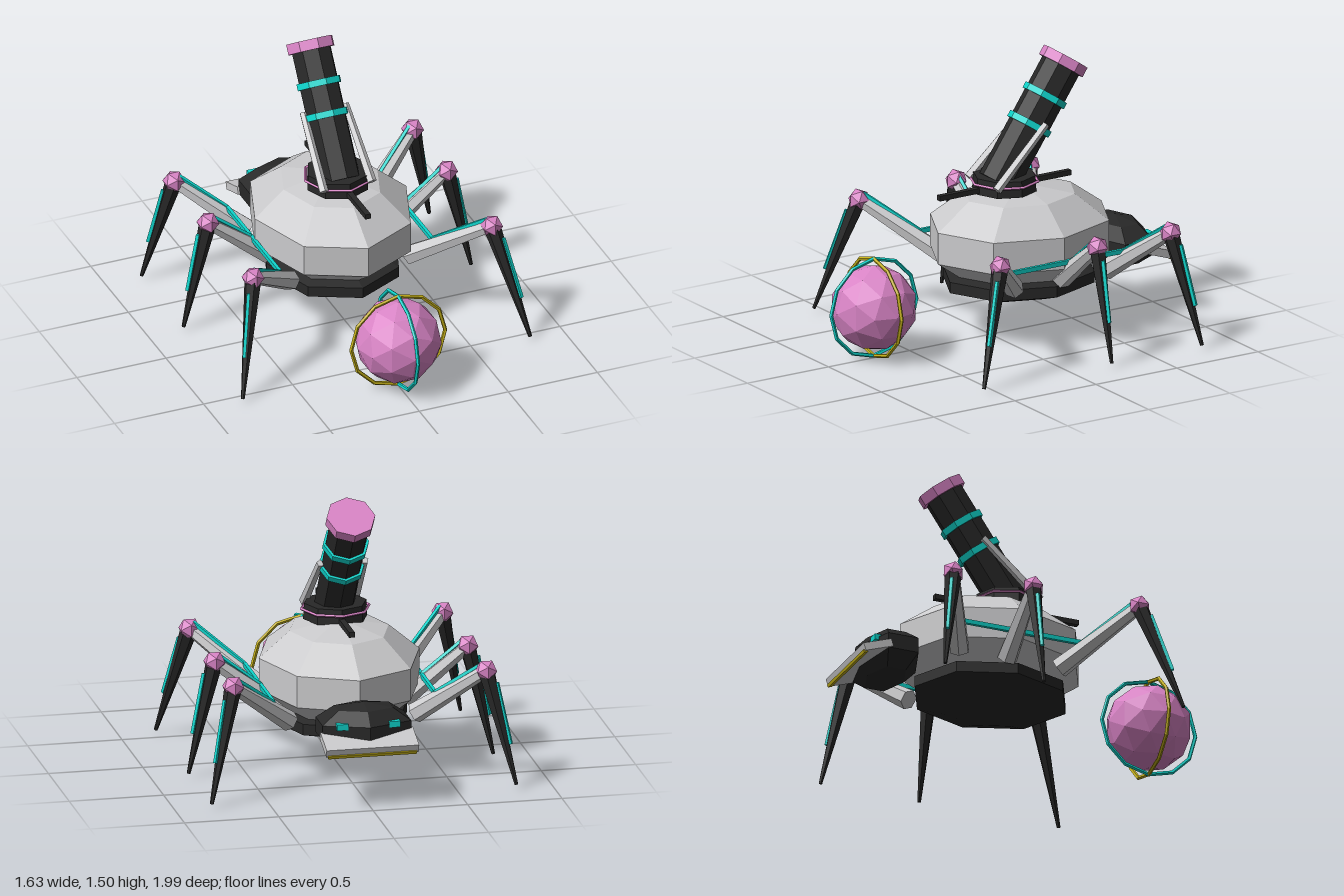
import * as THREE from 'three';

const paint = (name, color) => {
  const m = new THREE.MeshStandardMaterial({ color, flatShading: true });
  m.name = name;
  return m;
};
const V = (x, y, z) => new THREE.Vector3(x, y, z);

export function createModel() {
  const grey = paint('light grey', 0xcbcbcd);
  const black = paint('black', 0x282828);
  const pink = paint('pink', 0xd984c6);
  const cyan = paint('cyan', 0x0fd6cd);
  const yellow = paint('yellow', 0xc4b018);

  const model = new THREE.Group();
  model.name = 'walker';

  const add = (name, geometry, material, pos = V(0, 0, 0), parent = model) => {
    const mesh = new THREE.Mesh(geometry, material);
    mesh.name = name;
    mesh.position.copy(pos);
    parent.add(mesh);
    return mesh;
  };
  // Tapered bar from a to b
  const beam = (name, a, b, ra, rb, sides, material, parent = model) => {
    const dir = b.clone().sub(a);
    const geo = new THREE.CylinderGeometry(rb, ra, dir.length(), sides);
    const mesh = add(name, geo, material, a.clone().add(b).multiplyScalar(0.5), parent);
    mesh.quaternion.setFromUnitVectors(V(0, 1, 0), dir.normalize());
    return mesh;
  };
  // Faceted ellipsoid
  const pod = (name, sides, rx, ry, rz, material, pos, turn = 0) =>
    add(name, new THREE.SphereGeometry(1, sides, 5).rotateY(turn).scale(rx, ry, rz), material, pos);

  // Hull
  pod('body', 8, 0.447, 0.275, 0.53, grey, V(0, 0.535, -0.18));
  pod('underbelly', 8, 0.38, 0.095, 0.447, black, V(0, 0.31, -0.175));

  // Legs, mirrored left and right
  const legs = [
    { name: 'front', hip: 0.07, knee: 0.376, foot: 0.565 },
    { name: 'middle', hip: -0.223, knee: -0.223, foot: -0.223 },
    { name: 'back', hip: -0.49, knee: -0.675, foot: -0.78 },
  ];
  for (const s of [1, -1]) {
    const side = s > 0 ? 'Left' : 'Right';
    for (const leg of legs) {
      const g = new THREE.Group();
      g.name = leg.name + side + 'Leg';
      model.add(g);
      const hip = V(s * 0.33, 0.365, leg.hip);
      const knee = V(s * 0.67, 0.63, leg.knee);
      const foot = V(s * 0.807, 0.035, leg.foot);
      beam('upperLeg', hip, knee, 0.054, 0.034, 6, grey, g);
      beam('lowerLeg', knee, foot, 0.046, 0.01, 6, black, g);
      add('knee', new THREE.IcosahedronGeometry(0.06, 0), pink, knee, g);
      // Glowing strips on top of the thigh and outside the shin
      const lift = V(0, 0.05, 0);
      beam('thighStrip', hip.clone().lerp(knee, 0.29).add(lift),
        hip.clone().lerp(knee, 0.95).add(lift), 0.012, 0.012, 4, cyan, g);
      const out = knee.clone().sub(hip).setY(0).normalize();
      beam('shinStrip', knee.clone().lerp(foot, 0.1).addScaledVector(out, 0.042),
        knee.clone().lerp(foot, 0.64).addScaledVector(out, 0.028), 0.012, 0.012, 4, cyan, g);
    }
    add('sideStrip', new THREE.BoxGeometry(0.018, 0.024, 0.7), cyan, V(s * 0.427, 0.487, -0.193));
  }

  // Turret
  add('turretBase', new THREE.CylinderGeometry(0.165, 0.17, 0.085, 8), black, V(0, 0.83, -0.085));
  add('turretRing', new THREE.TorusGeometry(0.18, 0.008, 4, 8).rotateX(Math.PI / 2), pink, V(0, 0.842, -0.085));
  add('crossBar', new THREE.BoxGeometry(0.03, 0.028, 0.81), black, V(0, 0.81, -0.085));

  // Cannon, leaning backwards
  const cannon = new THREE.Group();
  cannon.name = 'cannon';
  cannon.position.set(0, 0.83, -0.045);
  cannon.rotation.x = -0.6;
  model.add(cannon);
  const drum = (name, r, h, y, m) =>
    add(name, new THREE.CylinderGeometry(r, r, h, 8), m, V(0, y, 0), cannon);
  drum('barrel', 0.108, 0.7, 0.35, black);
  drum('muzzleCap', 0.129, 0.055, 0.715, pink);
  drum('lowerBand', 0.122, 0.035, 0.345, cyan);
  drum('upperBand', 0.122, 0.035, 0.513, cyan);
  for (const s of [1, -1])
    beam('cannonStrut', V(s * 0.135, 0.84, 0.05), V(s * 0.118, 1.14, -0.265), 0.026, 0.02, 5, grey);

  // Head with eyes and jaw at the rear
  pod('head', 6, 0.285, 0.133, 0.178, black, V(0, 0.4, -0.765), Math.PI / 2);
  for (const s of [1, -1])
    add('eye', new THREE.BoxGeometry(0.06, 0.032, 0.05), cyan, V(s * 0.138, 0.44, -0.872));
  const jaw = new THREE.Group();
  jaw.name = 'jaw';
  jaw.position.set(0, 0.358, -0.91);
  jaw.rotation.x = -0.33;
  model.add(jaw);
  add('jawPlate', new THREE.BoxGeometry(0.49, 0.042, 0.165), grey, V(0, 0, 0), jaw);
  add('jawEdge', new THREE.BoxGeometry(0.47, 0.016, 0.022), yellow, V(0, -0.02, -0.08), jaw);

  // Caged orb in front
  const orb = V(0, 0.288, 0.72);
  add('orb', new THREE.IcosahedronGeometry(0.228, 1), pink, orb);
  const hoop = () => new THREE.TorusGeometry(0.264, 0.011, 5, 12);
  add('crossHoop', hoop(), yellow, orb);
  add('lengthHoop', hoop().rotateY(Math.PI / 2), cyan, orb);

  return model;
}
